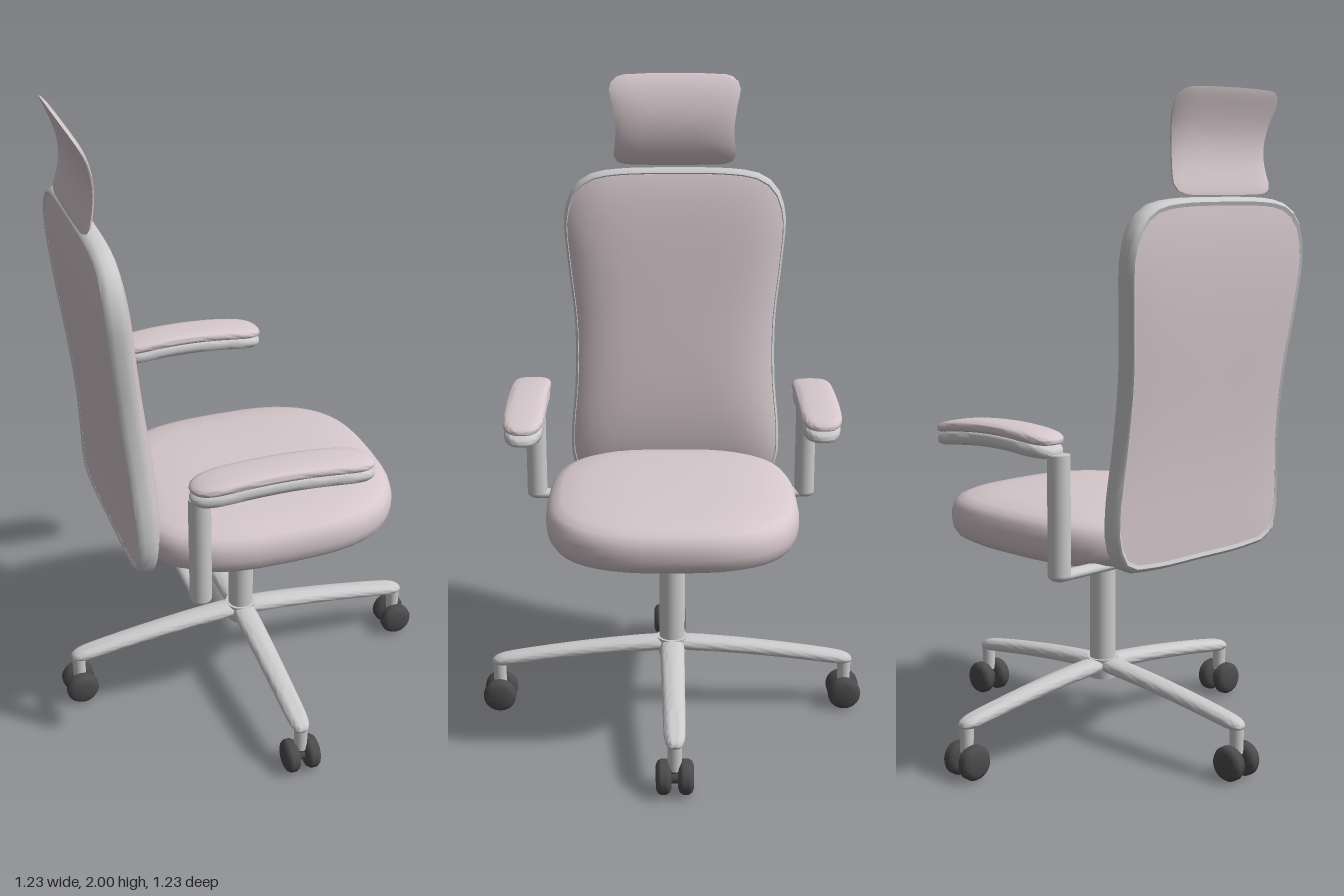
import * as THREE from 'three';
import { toCreasedNormals } from 'three/addons/utils/BufferGeometryUtils.js';

const grey = new THREE.MeshStandardMaterial({ color: 0xcccccc });
const fabric = new THREE.MeshStandardMaterial({ color: 0xd6c8cc });
const rubber = new THREE.MeshStandardMaterial({ color: 0x4c4c4c });
const V = (x, y, z) => new THREE.Vector3(x, y, z);

function add(parent, name, geometry, material, x = 0, y = 0, z = 0) {
  const mesh = new THREE.Mesh(geometry, material);
  mesh.name = name;
  mesh.position.set(x, y, z);
  parent.add(mesh);
  return mesh;
}

// Skin closed cross-sections into a solid; faces are turned outward by signed volume.
function loft(rings, joinEnds = false, crease = 0.7) {
  const n = rings[0].length, m = rings.length, index = [];
  const pts = rings.flat();
  for (let i = 0; i < (joinEnds ? m : m - 1); i++) {
    for (let j = 0; j < n; j++) {
      const a = i * n + j, b = i * n + (j + 1) % n;
      const c = ((i + 1) % m) * n + j, d = ((i + 1) % m) * n + (j + 1) % n;
      index.push(a, b, c, b, d, c);
    }
  }
  let volume = 0;
  const cross = V();
  for (let k = 0; k < index.length; k += 3) {
    volume += pts[index[k]].dot(cross.crossVectors(pts[index[k + 1]], pts[index[k + 2]]));
  }
  if (volume < 0) index.reverse();
  const g = new THREE.BufferGeometry().setFromPoints(pts);
  g.setIndex(index);
  return toCreasedNormals(g, crease);
}

// Smooth closed outline, mirrored from half of it, as [halfWidth, height] pairs.
function outline(half, count) {
  const other = half.slice(1, -1).reverse().map(([w, y]) => [-w, y]);
  const curve = new THREE.CatmullRomCurve3([...half, ...other].map(([w, y]) => V(0, y, w)), true);
  return curve.getSpacedPoints(count).slice(0, count);
}

// Scale an outline about its middle and place it in depth with xAt(y).
const inset = (pts, s, midY, midZ, xAt) => pts.map((p) => {
  const y = midY + (p.y - midY) * s;
  return V(xAt(y), y, midZ + p.z * s);
});

// Superellipse point: angle and exponent to unit coordinates.
function superPoint(a, n) {
  const f = (v) => Math.sign(v) * Math.abs(v) ** (2 / n);
  return [f(Math.cos(a)), f(Math.sin(a))];
}

// Round-ended bar along x; centre(u), halfW(u) and halfH(u) take u from -1 to 1.
function bar(x0, x1, centre, halfW, halfH, n, endPower) {
  const rings = [];
  for (let i = 0; i <= 28; i++) {
    const u = -Math.cos((i / 28) * Math.PI);
    const k = Math.sqrt(Math.max(0, 1 - Math.abs(u) ** endPower));
    rings.push(Array.from({ length: 24 }, (_, j) => {
      const [c, s] = superPoint((j / 24) * Math.PI * 2, n);
      return V(x0 + (x1 - x0) * (u + 1) / 2, centre(u) + s * halfH(u) * k, c * halfW(u) * k);
    }));
  }
  return loft(rings, false, 1);
}

function buildSeat(root) {
  const profile = [[0, 0.635], [0.5, 0.635], [0.9, 0.636], [0.96, 0.648], [0.99, 0.667], [1, 0.69], [1, 0.715],
    [0.985, 0.74], [0.95, 0.758], [0.88, 0.77], [0.7, 0.782], [0.4, 0.789], [0, 0.791]];
  const rings = profile.map(([s, y]) => Array.from({ length: 48 }, (_, j) => {
    const [c, d] = superPoint((j / 48) * Math.PI * 2, 2.9);
    return V(0.03 + c * s * 0.43, y, d * s * 0.393);
  }));
  add(root, 'seatCushion', loft(rings, false, 1), fabric);
}

function buildBackrest(root) {
  const back = new THREE.Group();
  back.name = 'backrest';
  root.add(back);
  const midY = 1.17, midZ = -0.016;
  const rear = (y) => -0.433 - 0.075 * THREE.MathUtils.smoothstep(y, 0.75, 1.65);
  const edge = outline([[0, 1.7], [0.2, 1.695], [0.28, 1.68], [0.335, 1.64], [0.366, 1.55], [0.357, 1.4], [0.335, 1.2],
    [0.335, 1], [0.35, 0.82], [0.345, 0.72], [0.31, 0.658], [0.2, 0.64], [0, 0.638]], 72);

  // frame band: inset scale and depth of each corner of its section
  const section = [[0.955, 0.004], [0.975, 0], [0.99, 0.006], [1, 0.02], [1, 0.042], [0.99, 0.056], [0.975, 0.062],
    [0.955, 0.058]];
  add(back, 'backFrame', loft(section.map(([s, d]) => inset(edge, s, midY, midZ, (y) => rear(y) + d)), true), grey);

  // upholstered front and rear, swelling towards the middle
  const steps = [0.968, 0.955, 0.93, 0.88, 0.8, 0.68, 0.5, 0.3, 0];
  const front = steps.map((s) => inset(edge, s, midY, midZ, (y) => rear(y) + 0.056 + 0.047 * (1 - s ** 5)));
  const behind = steps.map((s) => inset(edge, s, midY, midZ, (y) => rear(y) + 0.006 - 0.008 * (1 - s ** 5)));
  add(back, 'backCushion', loft([...behind.reverse(), ...front], false, 1), fabric);

  // thin curved headrest
  const head = outline([[0, 2], [0.12, 1.998], [0.19, 1.99], [0.214, 1.96], [0.202, 1.89], [0.194, 1.82],
    [0.199, 1.76], [0.2, 1.727], [0.175, 1.711], [0.1, 1.706], [0, 1.705]], 56);
  const bow = (y) => -0.479 - 1.9 * (y - 1.83) ** 2;
  const shell = (side) => [1, 0.985, 0.95, 0.88, 0.75, 0.55, 0.3, 0].map((s) =>
    inset(head, s, 1.85, midZ, (y) => bow(y) + side * (0.002 + 0.011 * (1 - s ** 6))));
  add(back, 'headrest', loft([...shell(-1).reverse(), ...shell(1)], false, 1), fabric);
}

function buildArmrest(root, side) {
  const arm = new THREE.Group();
  arm.name = side > 0 ? 'leftArmrest' : 'rightArmrest';
  root.add(arm);
  const half = side > 0 ? 0.282 : 0.25, z = side * 0.451;
  const arch = (u) => 1.005 + 0.022 * (1 - u * u) - 0.006 * u;
  add(arm, 'armSupport', bar(-0.028 - half, -0.028 + half, (u) => arch(u) - 0.019, () => 0.059, () => 0.024, 3.5, 8),
    grey, 0, 0, z);
  add(arm, 'armPad', bar(-0.028 - half, -0.028 + half, (u) => arch(u) + 0.014, () => 0.063, () => 0.019, 3, 8),
    fabric, 0, 0, z);
  // post with rounded foot and the bracket under the seat
  add(arm, 'armPost', new THREE.CylinderGeometry(0.033, 0.033, 0.345, 24), grey, -0.28, 0.8175, side * 0.447);
  add(arm, 'armPostFoot', new THREE.SphereGeometry(0.033, 24, 12), grey, -0.28, 0.645, side * 0.447).scale.y = 0.6;
  const bracket = add(arm, 'armBracket', new THREE.CapsuleGeometry(0.026, 0.22, 6, 16), grey, -0.28, 0.64, side * 0.335);
  bracket.rotation.x = Math.PI / 2;
  bracket.scale.z = 0.6;
}

function buildBase(root) {
  const base = new THREE.Group();
  base.name = 'base';
  root.add(base);
  add(base, 'column', new THREE.CylinderGeometry(0.041, 0.041, 0.42, 28), grey, 0, 0.43, 0);
  add(base, 'hub', new THREE.CylinderGeometry(0.05, 0.042, 0.065, 28), grey, 0, 0.215, 0);

  const legGeometry = bar(-0.01, 0.588, (u) => 0.226 - 0.066 * ((u + 1) / 2) ** 1.5,
    (u) => 0.036 - 0.004 * u, (u) => 0.0225 - 0.0015 * u, 2.2, 14);
  const wheelProfile = [[0, -0.023], [0.034, -0.023], [0.046, -0.018], [0.0525, -0.008], [0.0525, 0.008],
    [0.046, 0.018], [0.034, 0.023], [0, 0.023]].map(([r, y]) => new THREE.Vector2(r, y));
  const wheelGeometry = toCreasedNormals(new THREE.LatheGeometry(wheelProfile, 28).rotateX(Math.PI / 2), 0.8);

  for (let i = 0; i < 4; i++) {
    const leg = new THREE.Group();
    leg.name = 'leg' + (i + 1);
    leg.rotation.y = i * Math.PI / 2;
    base.add(leg);
    add(leg, 'legBeam', legGeometry, grey);
    add(leg, 'casterStem', new THREE.CylinderGeometry(0.022, 0.02, 0.085, 18), grey, 0.563, 0.12, 0);
    add(leg, 'casterAxle', new THREE.CylinderGeometry(0.02, 0.02, 0.06, 16), rubber, 0.5625, 0.0525, 0)
      .rotation.x = Math.PI / 2;
    add(leg, 'casterBody', new THREE.CylinderGeometry(0.014, 0.014, 0.05, 16), rubber, 0.5625, 0.065, 0);
    for (const s of [-1, 1]) add(leg, 'wheel', wheelGeometry, rubber, 0.5625, 0.0525, s * 0.033);
  }
}

export function createModel() {
  const root = new THREE.Group();
  root.name = 'officeChair';
  buildBase(root);
  buildSeat(root);
  buildBackrest(root);
  for (const side of [1, -1]) buildArmrest(root, side);
  return root;
}
